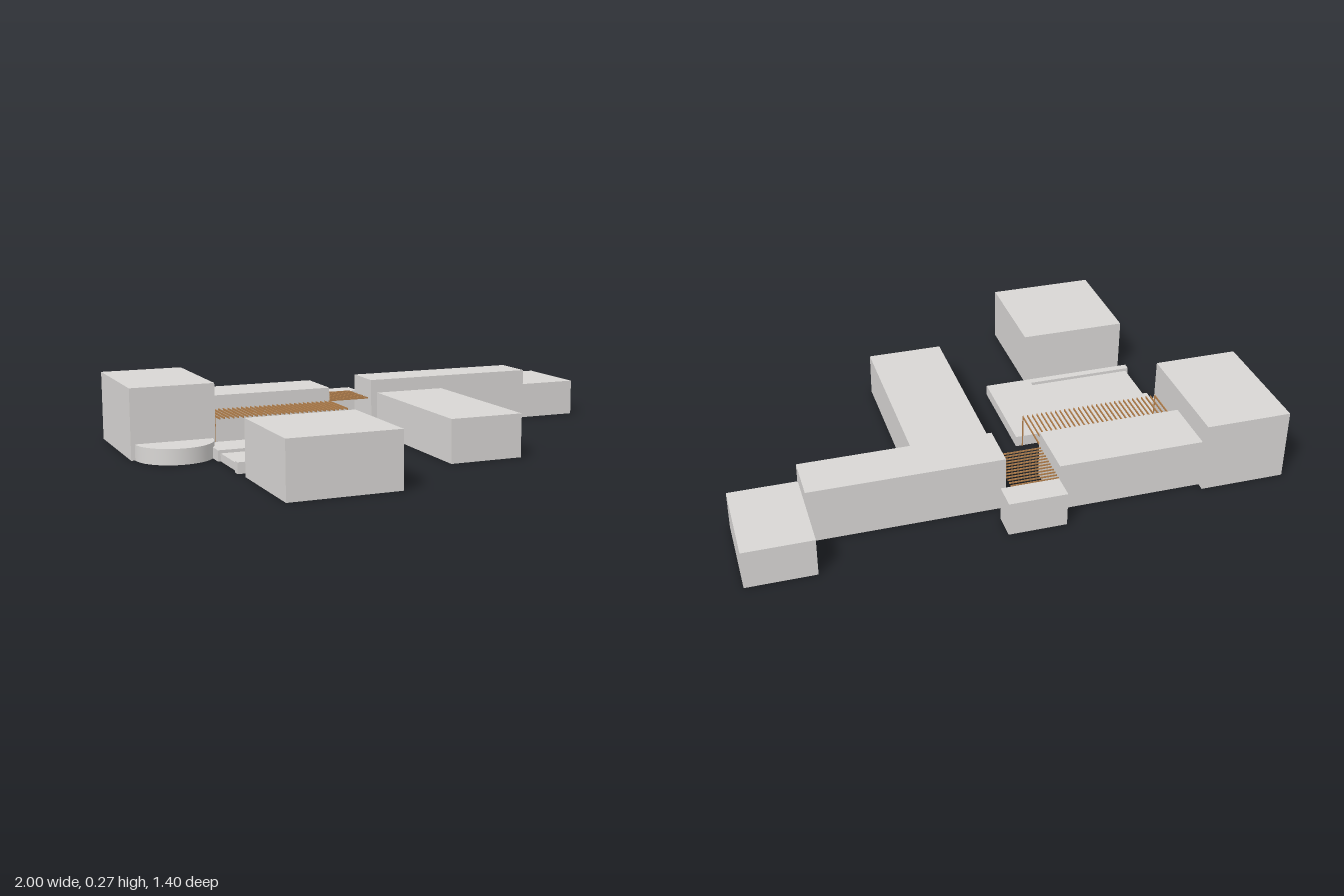
import * as THREE from 'three';

export function createModel() {
  const model = new THREE.Group();
  model.name = 'buildingComplex';

  const concrete = new THREE.MeshStandardMaterial({ color: 0xd8d6d4 });
  concrete.name = 'concrete grey';
  const timber = new THREE.MeshStandardMaterial({ color: 0xb5824f });
  timber.name = 'timber brown';

  // Box given by its extents on each axis
  function block(name, [x0, x1], [y0, y1], [z0, z1], material = concrete, parent = model) {
    const mesh = new THREE.Mesh(new THREE.BoxGeometry(x1 - x0, y1 - y0, z1 - z0), material);
    mesh.position.set((x0 + x1) / 2, (y0 + y1) / 2, (z0 + z1) / 2);
    mesh.name = name;
    parent.add(mesh);
  }

  // Main volumes
  block('tallHall', [-1, -0.68], [0, 0.268], [-0.612, -0.145]);
  block('backWing', [-0.68, -0.138], [0, 0.186], [-0.582, -0.357]);
  block('entranceLodge', [-0.138, 0.077], [0, 0.13], [-0.673, -0.575]);
  block('longWing', [0.04, 0.75], [0, 0.208], [-0.518, -0.342]);
  block('endPavilion', [0.75, 1], [0, 0.145], [-0.7, -0.355]);
  block('courtWing', [0.04, 0.328], [0, 0.165], [-0.281, 0.387]);
  block('frontPavilion', [-0.705, -0.293], [0, 0.208], [0.288, 0.7]);

  // Half-round bay in front of the tall hall
  const bay = new THREE.Mesh(
    new THREE.CylinderGeometry(0.147, 0.147, 0.06, 32, 1, false, -Math.PI / 2, Math.PI), concrete);
  bay.position.set(-0.838, 0.03, -0.145);
  bay.name = 'roundBay';
  model.add(bay);

  // Terrace: raised slab around a sunken floor that is open on one side
  const outline = [[-0.715, -0.158], [-0.115, -0.158], [-0.115, 0.231], [-0.715, 0.231],
    [-0.715, 0.203], [-0.294, 0.203], [-0.294, 0], [-0.715, 0]];
  const terraceShape = new THREE.Shape(outline.map(([x, z]) => new THREE.Vector2(x, -z)));
  const terraceGeometry = new THREE.ExtrudeGeometry(terraceShape, { depth: 0.042, bevelEnabled: false });
  terraceGeometry.rotateX(-Math.PI / 2);
  const terrace = new THREE.Mesh(terraceGeometry, concrete);
  terrace.name = 'terrace';
  model.add(terrace);
  block('sunkenFloor', [-0.705, -0.294], [0, 0.03], [0, 0.203]);

  // Slatted canopy over the court
  const courtCanopy = new THREE.Group();
  courtCanopy.name = 'courtCanopy';
  const courtCount = 30;
  for (let i = 0; i < courtCount; i++) {
    const x = -0.676 + (i * 0.536) / (courtCount - 1);
    block('courtSlat', [x - 0.0015, x + 0.0015], [0.126, 0.134], [-0.357, -0.158], timber, courtCanopy);
  }
  model.add(courtCanopy);

  // Slatted canopy over the passage
  const passageCanopy = new THREE.Group();
  passageCanopy.name = 'passageCanopy';
  const passageCount = 12;
  for (let i = 0; i < passageCount; i++) {
    const z = -0.571 + (i * 0.194) / (passageCount - 1);
    block('passageSlat', [-0.138, 0.04], [0.127, 0.133], [z - 0.0012, z + 0.0012], timber, passageCanopy);
  }
  model.add(passageCanopy);

  // Slim posts at the free corners of the court canopy
  for (const x of [-0.676, -0.14]) {
    block('canopyPost', [x - 0.002, x + 0.002], [0, 0.126], [-0.162, -0.158], timber);
  }

  return model;
}
